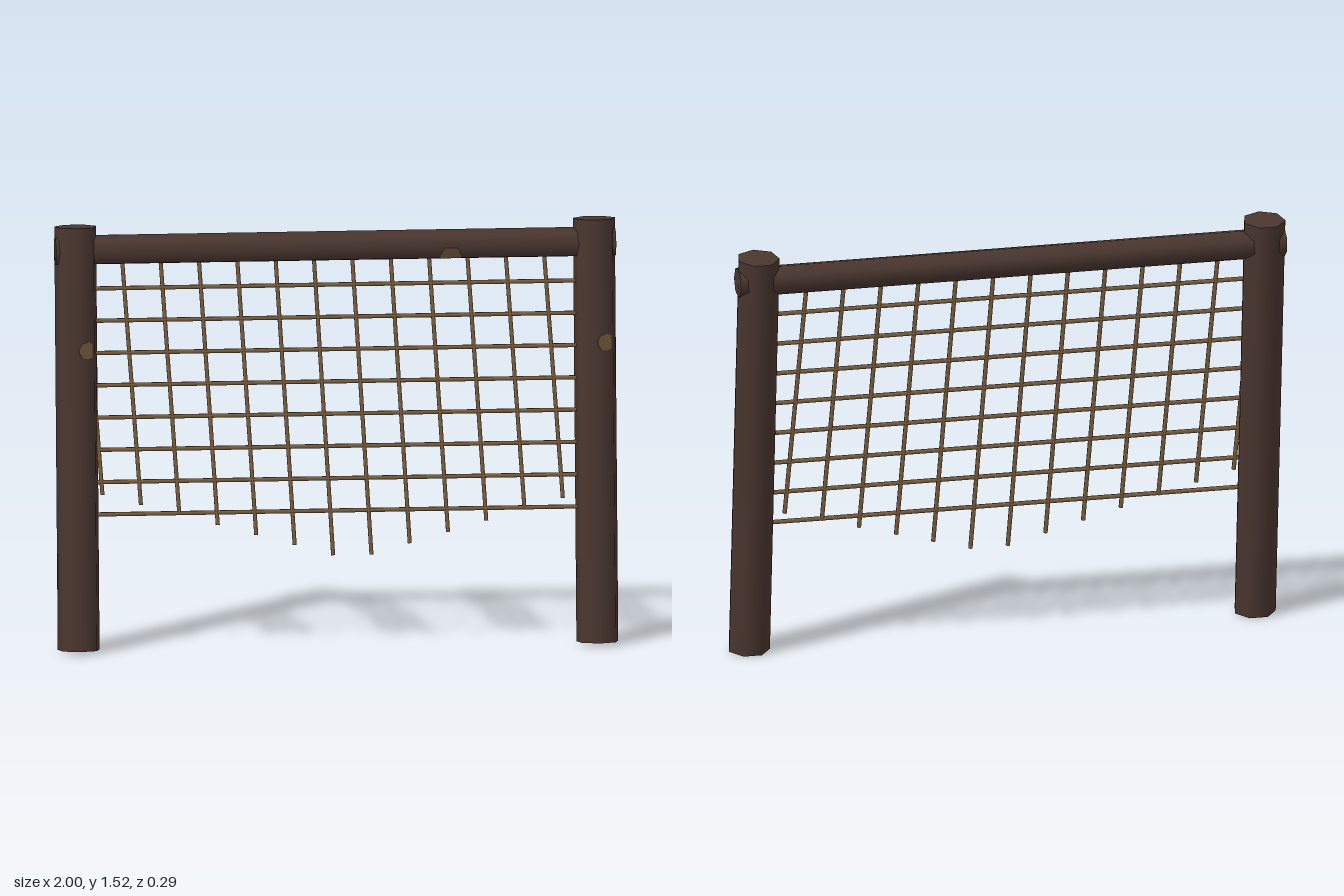
import * as THREE from 'three';

const wood = new THREE.MeshStandardMaterial({ color: 0x4a362f });
wood.name = 'dark wood';
const rope = new THREE.MeshStandardMaterial({ color: 0x7a6040 });
rope.name = 'tan rope';
const knotWood = new THREE.MeshStandardMaterial({ color: 0x755b3b });
knotWood.name = 'light knot wood';

const UP = new THREE.Vector3(0, 1, 0);

// depth of the leaning plane shared by posts and net
const leanZ = (y) => 0.0705 - 0.0966 * y;

// straight round bar between two points
function bar(name, a, b, radius, sides, material) {
  const from = new THREE.Vector3(...a);
  const dir = new THREE.Vector3(...b).sub(from);
  const length = dir.length();
  const mesh = new THREE.Mesh(new THREE.CylinderGeometry(radius, radius, length, sides), material);
  mesh.name = name;
  mesh.position.copy(from).addScaledVector(dir, 0.5);
  mesh.quaternion.setFromUnitVectors(UP, dir.normalize());
  return mesh;
}

// thin knot plate lying on the facet beside a log's front ridge
function addKnot(log, radius, along, points) {
  const shape = new THREE.Shape(points.map(([x, y]) => new THREE.Vector2(x, y)));
  const geometry = new THREE.ExtrudeGeometry(shape, { depth: 0.006, bevelEnabled: false });
  const knot = new THREE.Mesh(geometry, knotWood);
  const angle = Math.PI / 7;
  const apothem = radius * Math.cos(angle) - 0.003;
  knot.name = 'knot';
  knot.position.set(Math.sin(angle) * apothem, along, Math.cos(angle) * apothem);
  knot.rotation.y = angle;
  log.add(knot);
}

export function createModel() {
  const group = new THREE.Group();
  group.name = 'climbingNet';

  // leaning seven-sided posts
  const postRadius = 0.0765;
  for (const [name, x] of [['rightPost', -0.925], ['leftPost', 0.925]]) {
    const post = bar(name, [x, 0.0075, leanZ(0.0075)], [x, 1.513, leanZ(1.513)], postRadius, 7, wood);
    addKnot(post, postRadius, 0.318, [
      [-0.03, -0.008], [-0.018, -0.025], [0.006, -0.03], [0.024, -0.024],
      [0.024, 0.024], [0.006, 0.03], [-0.018, 0.025], [-0.03, 0.008],
    ]);
    group.add(post);
  }

  // top rail running through both posts
  const railRadius = 0.0543;
  const rail = bar('topRail', [-0.999, 1.427, -0.072], [0.999, 1.427, -0.072], railRadius, 7, wood);
  addKnot(rail, railRadius, 0.41, [
    [-0.023, -0.022], [0.012, -0.038], [0.023, -0.036],
    [0.023, 0.036], [0.012, 0.038], [-0.023, 0.022],
  ]);
  group.add(rail);

  // level net ropes
  const net = new THREE.Group();
  net.name = 'net';
  for (let i = 0; i < 8; i++) {
    const y = 1.292 - i * 0.1148;
    net.add(bar('crossRope', [-0.866, y, leanZ(y)], [0.866, y, leanZ(y)], 0.008, 6, rope));
  }

  // hanging ropes, slanted, longest in the middle
  for (let i = 0; i < 13; i++) {
    const x = -0.837 + i * 0.1368;
    const bottom = 0.33 + Math.min(Math.abs(i - 6), Math.abs(i - 7)) * 0.038;
    net.add(bar('hangingRope', [x, bottom, leanZ(bottom)], [x - 0.062, 1.425, leanZ(1.425)], 0.008, 6, rope));
  }
  group.add(net);

  return group;
}
